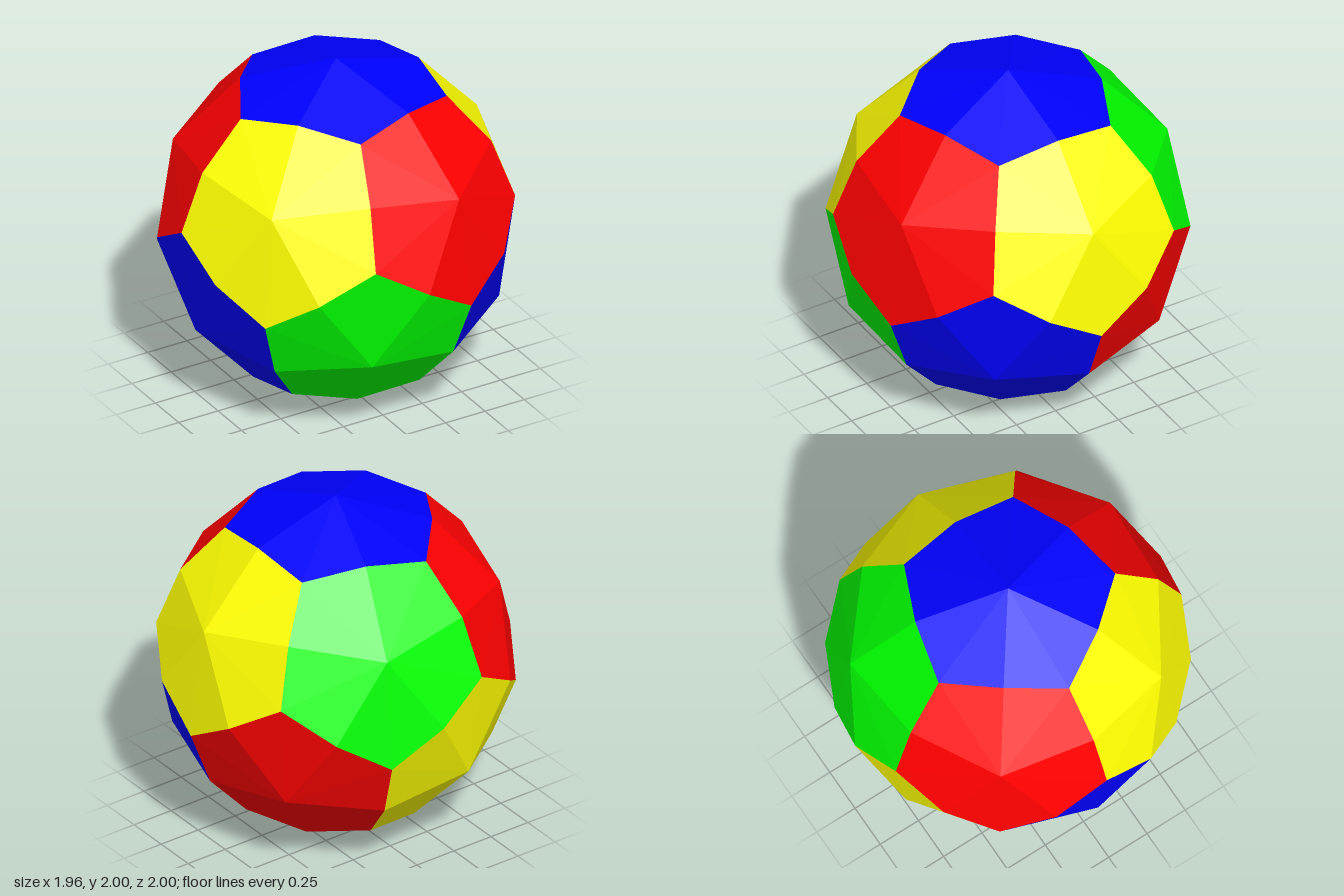
import * as THREE from 'three';

const RED = 0xff0000, YELLOW = 0xffff00, GREEN = 0x00ff00, BLUE = 0x0000ff, BROWN = 0x8b4513;

// Polar angles on a unit sphere, seen from the middle of a five-sided panel
const TO_EDGE_MIDDLE = Math.atan((Math.sqrt(5) - 1) / 2);
const TO_CORNER = Math.acos(Math.sqrt((5 + 2 * Math.sqrt(5)) / 15));
const TO_NEIGHBOUR = Math.atan(2);

function onSphere(polar, azimuth) {
  return new THREE.Vector3(
    Math.sin(polar) * Math.cos(azimuth), Math.cos(polar), Math.sin(polar) * Math.sin(azimuth));
}

// One domed pentagon facing +y: a fan through five edge middles and five corners
function panelGeometry() {
  const apex = new THREE.Vector3(0, 1, 0);
  const rim = i => onSphere(i % 2 ? TO_CORNER : TO_EDGE_MIDDLE, (i % 10) * Math.PI / 5);
  const points = [];
  for (let i = 0; i < 10; i++) points.push(apex, rim(i + 1), rim(i));
  const geometry = new THREE.BufferGeometry().setFromPoints(points);
  geometry.computeVertexNormals();
  return geometry;
}

export function createModel() {
  const ball = new THREE.Group();
  ball.name = 'panelBall';
  const geometry = panelGeometry();

  // Spin the panel about its own axis, tilt it down towards +x, then turn it round y
  function addPanel(name, color, tilt, degrees, spin = 0) {
    const material = new THREE.MeshStandardMaterial({ color, flatShading: true });
    const panel = new THREE.Mesh(geometry, material);
    panel.name = name;
    panel.rotation.set(0, -THREE.MathUtils.degToRad(degrees), -tilt, 'YZX');
    panel.rotateY(spin);
    panel.position.y = 1;
    ball.add(panel);
  }

  // Caps
  addPanel('topPanel', BLUE, 0, 0);
  addPanel('bottomPanel', BROWN, Math.PI, 0);

  // Two staggered rings of five panels
  [YELLOW, RED, YELLOW, RED, GREEN].forEach((color, i) =>
    addPanel(`upperPanel${i + 1}`, color, TO_NEIGHBOUR, 72 * i, Math.PI));
  [BLUE, GREEN, BLUE, YELLOW, RED].forEach((color, i) =>
    addPanel(`lowerPanel${i + 1}`, color, Math.PI - TO_NEIGHBOUR, 36 + 72 * i));

  return ball;
}
